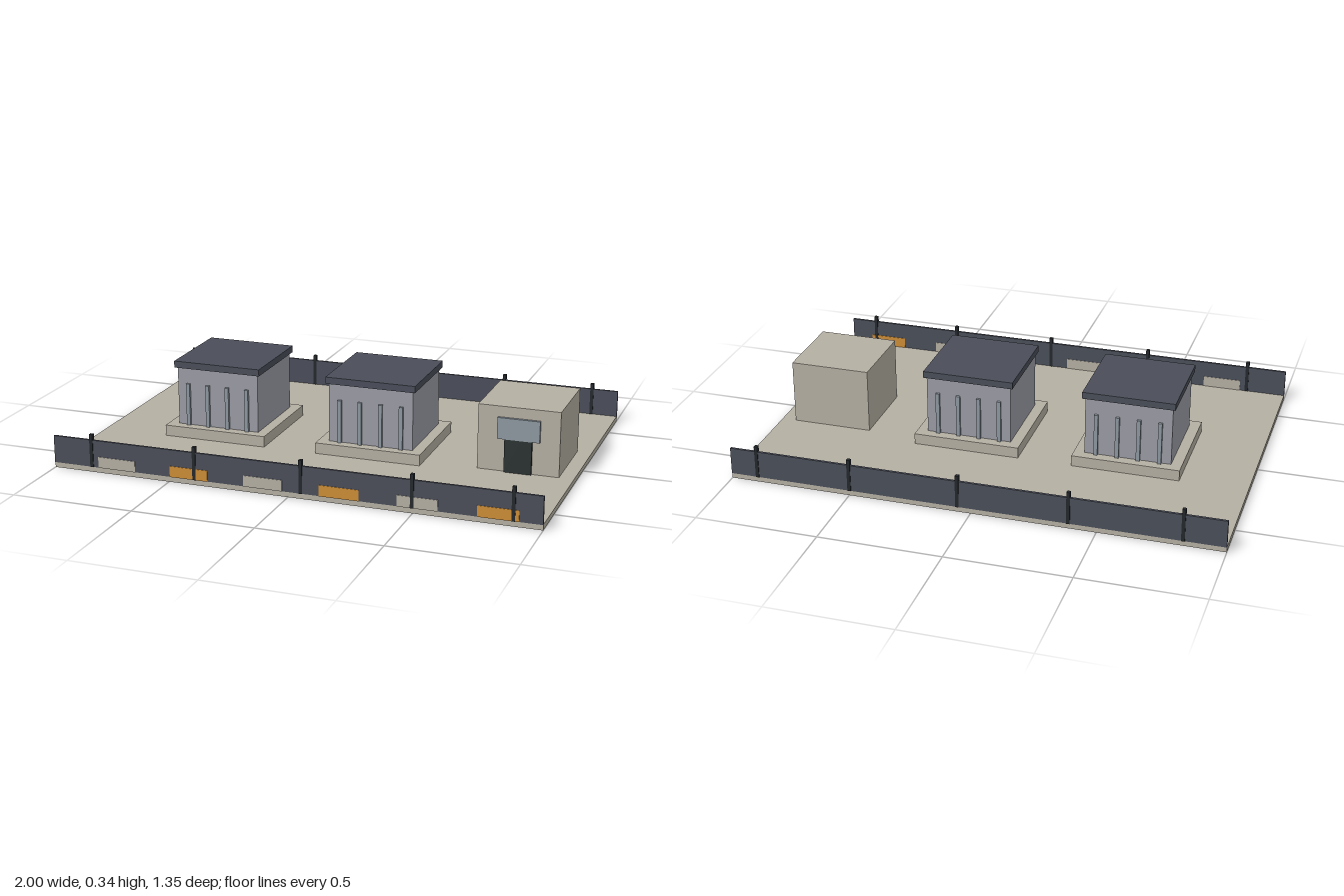
import * as THREE from 'three';

const mat = (name, color) => {
  const m = new THREE.MeshStandardMaterial({ color });
  m.name = name;
  return m;
};

export function createModel() {
  const stone = mat('warm stone', 0xb5afa3);
  const slate = mat('dark slate', 0x4a4e59);
  const grey = mat('wall grey', 0x9a9ca4);
  const glass = mat('blue grey glass', 0x8e98a1);
  const dark = mat('door dark', 0x2b3232);
  const iron = mat('post black', 0x24282c);
  const orange = mat('orange', 0xcc8c36);

  const model = new THREE.Group();
  model.name = 'walledCourtyard';

  // Box given by its extents along each axis
  const box = (parent, name, m, [x0, x1], [y0, y1], [z0, z1]) => {
    const mesh = new THREE.Mesh(new THREE.BoxGeometry(x1 - x0, y1 - y0, z1 - z0), m);
    mesh.position.set((x0 + x1) / 2, (y0 + y1) / 2, (z0 + z1) / 2);
    mesh.name = name;
    parent.add(mesh);
    return mesh;
  };
  const span = (centre, size) => [centre - size / 2, centre + size / 2];

  const ground = 0.022;
  box(model, 'groundSlab', stone, [-1, 1], [0, ground], [-0.667, 0.667]);

  // Perimeter walls with posts, front and back
  for (const side of [1, -1]) {
    const wall = new THREE.Group();
    wall.name = side > 0 ? 'frontWall' : 'backWall';
    model.add(wall);
    box(wall, 'wallPanel', slate, [-1, 1], [ground, 0.134], span(side * 0.665, 0.01));
    for (const x of [-0.834, -0.39, 0.053, 0.498, 0.888])
      box(wall, 'wallPost', iron, span(x, 0.014), [ground, 0.158], span(side * 0.665, 0.016));
  }

  // Alternating panels set through the front wall
  for (let i = 0; i < 6; i++)
    box(model, 'wallInset', i % 2 ? orange : stone,
      span(-0.725 + i * 0.311, 0.16), [ground, 0.067], span(0.665, 0.014));

  // Two pavilions on plinths
  for (const cx of [-0.502, 0.165]) {
    const pavilion = new THREE.Group();
    pavilion.name = 'pavilion';
    pavilion.position.x = cx;
    model.add(pavilion);
    box(pavilion, 'plinth', stone, span(0, 0.443), [ground, 0.067], span(0, 0.443));
    box(pavilion, 'pavilionBody', grey, span(0, 0.356), [0.067, 0.312], span(0, 0.356));
    box(pavilion, 'roof', slate, span(0, 0.378), [0.312, 0.34], span(0, 0.378));
    // Narrow pilasters on the front and back faces
    for (const side of [1, -1])
      for (let i = 0; i < 4; i++)
        box(pavilion, 'pilaster', glass, span((i - 1.5) * 0.087, 0.016),
          [0.067, 0.246], span(side * 0.183, 0.013));
  }

  // Gatehouse with door and canopy
  const gatehouse = new THREE.Group();
  gatehouse.name = 'gatehouse';
  model.add(gatehouse);
  box(gatehouse, 'gatehouseBody', stone, [0.608, 0.94], [ground, 0.29], [-0.166, 0.166]);
  box(gatehouse, 'door', dark, [0.719, 0.83], [ground, 0.244], [0.16, 0.177]);
  box(gatehouse, 'doorCanopy', glass, [0.689, 0.861], [0.158, 0.246], [0.16, 0.178]);

  return model;
}
